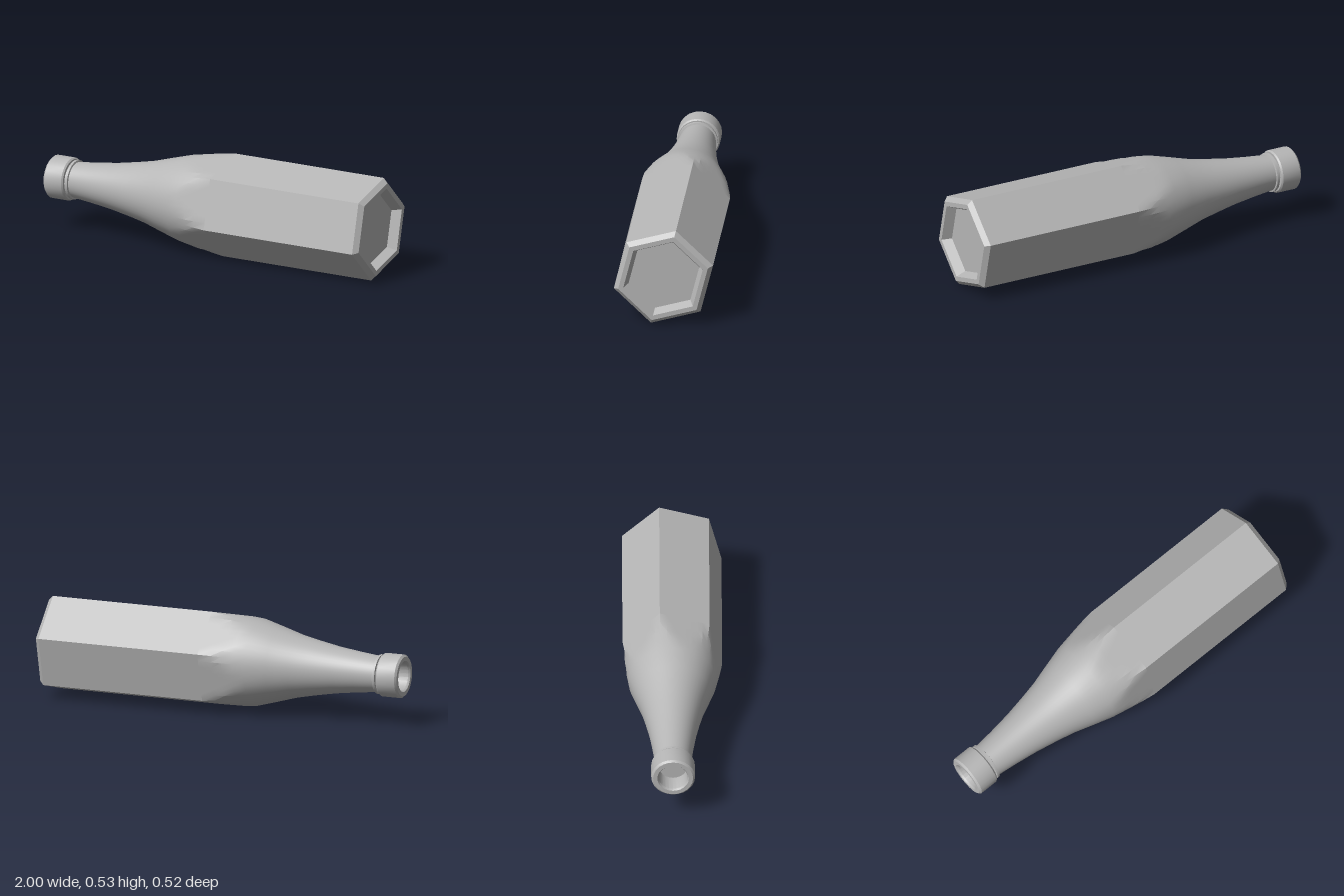
import * as THREE from 'three';
import { toCreasedNormals } from 'three/addons/utils/BufferGeometryUtils.js';

const AXIS_Y = 0.265;                       // height of the bottle's long axis
const HEX_R = 0.272;                        // corner radius of the hexagonal body
const TURN = THREE.MathUtils.degToRad(44);  // direction of the first hex corner
const STEP = Math.PI / 3;

// Radius of the hexagon at an angle measured from its first corner
const hexRadius = (a) => (HEX_R * Math.cos(STEP / 2)) / Math.cos((a % STEP) - STEP / 2);

// Sweeps a profile of [x, radius] points around the long axis
function loft(profile, sides, creaseDegrees, limit = () => Infinity) {
  const point = ([x, r], j) => {
    const a = ((j % sides) / sides) * Math.PI * 2;
    const rr = Math.min(r, limit(a));
    return [x, AXIS_Y + rr * Math.sin(a + TURN), rr * Math.cos(a + TURN)];
  };
  const pos = [];
  for (let i = 0; i < profile.length - 1; i++) {
    const p = profile[i], q = profile[i + 1];
    for (let j = 0; j < sides; j++) {
      const a = point(p, j), b = point(q, j), c = point(q, j + 1), d = point(p, j + 1);
      if (q[1] > 0) pos.push(...a, ...b, ...c);
      if (p[1] > 0) pos.push(...a, ...(q[1] > 0 ? c : b), ...d);
    }
  }
  const geometry = new THREE.BufferGeometry();
  geometry.setAttribute('position', new THREE.Float32BufferAttribute(pos, 3));
  geometry.computeVertexNormals();
  return toCreasedNormals(geometry, THREE.MathUtils.degToRad(creaseDegrees));
}

export function createModel() {
  const group = new THREE.Group();
  const grey = new THREE.MeshStandardMaterial({ color: 0xb6b6b6 });
  grey.name = 'plain grey';

  const add = (name, geometry) => {
    const mesh = new THREE.Mesh(geometry, grey);
    mesh.name = name;
    group.add(mesh);
  };

  // Six-sided body with a bevelled foot and a recessed base
  add('hexagonalBody', loft([
    [0.07, HEX_R], [0.975, HEX_R], [1, 0.246], [1, 0.218], [0.95, 0.194], [0.95, 0],
  ], 6, 5));

  // Round neck that swells until the hexagon's flats cut into it
  add('neckAndShoulder', loft([
    [-0.875, 0.094], [-0.86, 0.095], [-0.74, 0.108], [-0.62, 0.124], [-0.5, 0.146],
    [-0.4, 0.167], [-0.29, 0.199], [-0.18, 0.23], [-0.12, 0.241], [-0.06, 0.252],
    [0, 0.262], [0.07, HEX_R],
  ], 48, 22, hexRadius));

  // Thin ring below the lip
  add('neckRing', loft([
    [-0.875, 0.09], [-0.872, 0.105], [-0.858, 0.105], [-0.855, 0.094],
  ], 24, 35));

  // Lip with a rounded rim and an open mouth
  add('lip', loft([
    [-0.9, 0], [-0.9, 0.074], [-0.99, 0.076], [-1, 0.083], [-1, 0.105], [-0.99, 0.115],
    [-0.888, 0.115], [-0.88, 0.108], [-0.88, 0.094], [-0.872, 0.094],
  ], 24, 35));

  return group;
}
